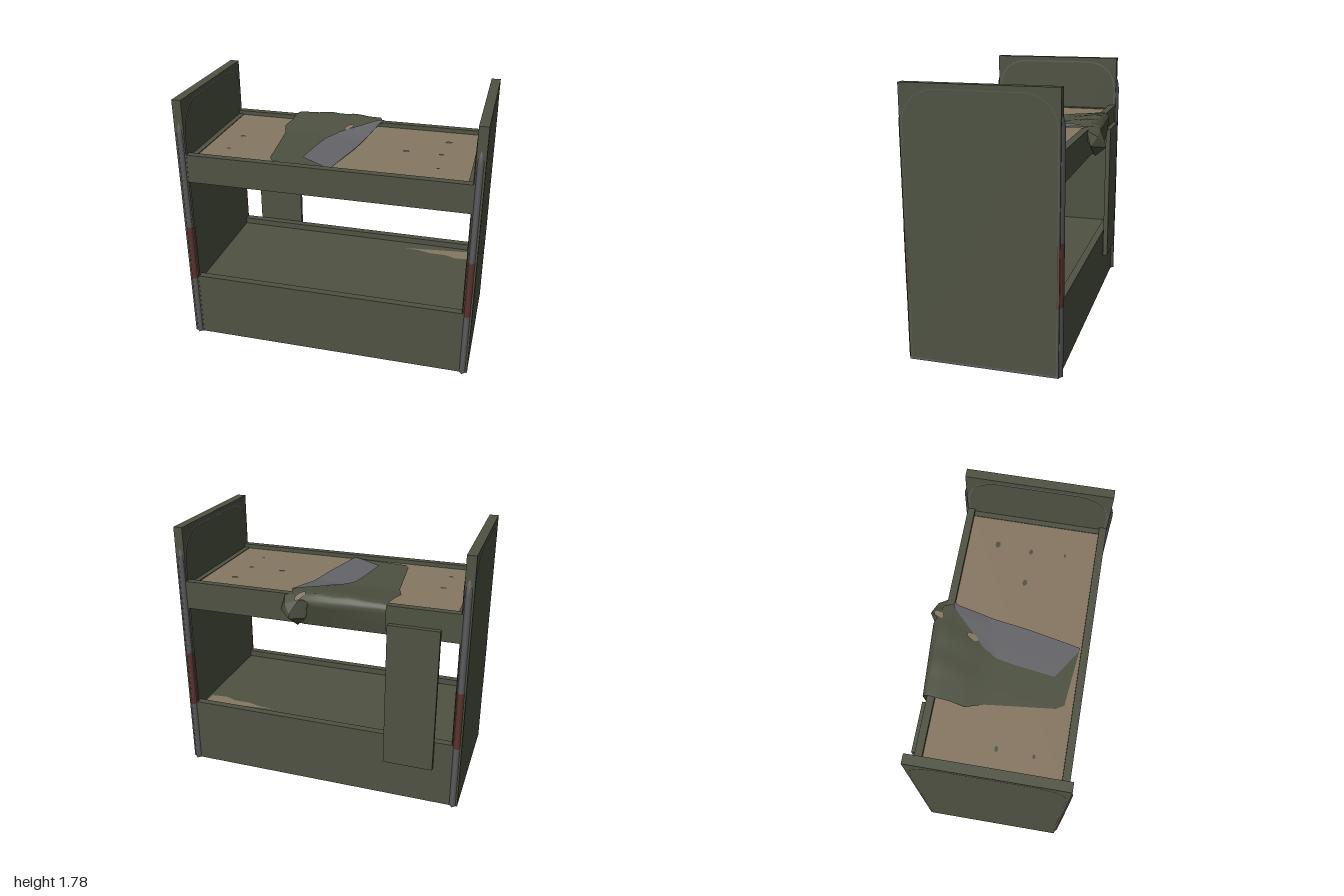
import * as THREE from 'three';
import { ConvexGeometry } from 'three/addons/geometries/ConvexGeometry.js';

const mat = (name, color, opts = {}) => {
  const m = new THREE.MeshStandardMaterial({ color, ...opts });
  m.name = name;
  return m;
};

export function createModel() {
  const group = new THREE.Group();
  const green = mat('olive green', 0x4f5342);
  const cloth = mat('olive cloth', 0x4d5140, { side: THREE.DoubleSide });
  const lining = mat('grey lining', 0x656569, { side: THREE.DoubleSide });
  const grey = mat('grey metal', 0x5f5f63);
  const red = mat('dull red', 0x603531);
  const tan = mat('tan mattress', 0x867762);
  const CZ = 0.045; // middle of the bed in z

  const add = (name, geo, m) => {
    const mesh = new THREE.Mesh(geo, m);
    mesh.name = name;
    group.add(mesh);
    return mesh;
  };
  // box given by its limits
  const box = (name, m, x0, x1, y0, y1, z0, z1) => {
    const mesh = add(name, new THREE.BoxGeometry(x1 - x0, y1 - y0, z1 - z0), m);
    mesh.position.set((x0 + x1) / 2, (y0 + y1) / 2, (z0 + z1) / 2);
    return mesh;
  };

  // end panels with a bent four-sided tube whose corners just break the faces
  for (const s of [-1, 1]) {
    const cx = s * 0.967;
    box('endPanel', green, s * 0.969 - 0.031, s * 0.969 + 0.031, 0.015, 1.78, -0.445, 0.537);
    box('endPanelFoot', grey, s * 0.969 - 0.031, s * 0.969 + 0.031, 0, 0.015, -0.445, 0.537);
    const half = 0.477, top = 1.744, r = 0.2, rad = 0.0345;
    const path = new THREE.CurvePath();
    const p = (z, y) => new THREE.Vector3(cx, y, CZ + z);
    path.add(new THREE.LineCurve3(p(half, 0), p(half, top - r)));
    path.add(new THREE.QuadraticBezierCurve3(p(half, top - r), p(half - 0.02, top - 0.02), p(half - r, top)));
    path.add(new THREE.LineCurve3(p(half - r, top), p(r - half, top)));
    path.add(new THREE.QuadraticBezierCurve3(p(r - half, top), p(0.02 - half, top - 0.02), p(-half, top - r)));
    path.add(new THREE.LineCurve3(p(-half, top - r), p(-half, 0)));
    add('endTube', new THREE.TubeGeometry(path, 120, rad, 4), grey);
    // red bands and closed feet on the posts
    for (const e of [-1, 1]) {
      const band = add('redBand', new THREE.CylinderGeometry(rad + 0.001, rad + 0.001, 0.41, 4, 1, true), red);
      band.position.set(cx, 0.665, CZ + e * half);
      const foot = add('postFoot', new THREE.CylinderGeometry(rad, rad, 0.02, 4), grey);
      foot.position.set(cx, 0.01, CZ + e * half);
    }
  }

  // long walls of both bunks, and the grey support ring inside each
  for (const [name, y0, y1, ringY, endY] of [['lower', 0, 0.475, 0.28, 0.42], ['upper', 1.21, 1.405, 1.22, 1.38]]) {
    box(name + 'FrontRail', green, -0.94, 0.94, y0, y1, 0.485, 0.535);
    box(name + 'BackRail', green, -0.94, 0.94, y0, y1, -0.445, -0.395);
    for (const s of [-1, 1]) {
      box(name + 'EndRail', green, s * 0.92 - 0.02, s * 0.92 + 0.02, ringY, endY, -0.395, 0.485);
      box(name + 'SupportEnd', grey, s * 0.89 - 0.01, s * 0.89 + 0.01, ringY, ringY + 0.08, -0.395, 0.485);
    }
    box(name + 'SupportFront', grey, -0.9, 0.9, ringY, ringY + 0.08, 0.465, 0.485);
    box(name + 'SupportBack', grey, -0.9, 0.9, ringY, ringY + 0.08, -0.395, -0.375);
  }

  // mattresses, slats and the flat lower blanket
  box('lowerMattress', tan, -0.9, 0.9, 0.35, 0.42, -0.395, 0.485);
  box('lowerBlanket', green, -0.94, 0.94, 0.42, 0.43, -0.395, 0.485);
  box('upperMattress', tan, -0.9, 0.9, 1.315, 1.375, -0.395, 0.485);
  for (let i = -2; i <= 2; i++)
    box('slat', tan, i * 0.36 - 0.172, i * 0.36 + 0.172, 1.285, 1.314, -0.395, 0.485);

  // worn patch on the lower blanket, near its back edge
  const patch = new THREE.Shape([[0.92, 0.36], [0.4, 0.3], [0.52, 0.295], [0.6, 0.27], [0.72, 0.27], [0.8, 0.24], [0.92, 0.25]]
    .map(([x, y]) => new THREE.Vector2(x, y)));
  const worn = add('wornPatch', new THREE.ShapeGeometry(patch), tan);
  worn.rotation.x = -Math.PI / 2;
  worn.position.y = 0.433;

  // small green spots on the upper mattress
  for (const [x, z, r] of [[-0.73, 0.05, 0.02], [-0.74, 0.29, 0.015], [0.44, 0.04, 0.024],
    [0.68, 0.045, 0.02], [0.69, 0.28, 0.012], [0.7, -0.19, 0.026]]) {
    const spot = add('spot', new THREE.CircleGeometry(r, 7), green);
    spot.rotation.x = -Math.PI / 2;
    spot.scale.y = 0.65;
    spot.position.set(x, 1.379, z);
  }

  // thrown blanket: nearly flat, rising over the back rail
  const height = (x, z) => {
    const across = Math.max(0, 1 - ((x + 0.13) / 0.38) ** 2);
    const back = THREE.MathUtils.clamp((-0.1 - z) / 0.3, 0, 1);
    return 1.383 + (0.027 + 0.022 * across) * back + 0.005 * across * back * Math.sin(x * 30 + z * 9);
  };
  // rows are [left x, left z, right x, right z, optional y]
  const sheet = (rows, lift) => {
    const sub = 3, cols = 12, pos = [], idx = [];
    const n = (rows.length - 1) * sub;
    for (let i = 0; i <= n; i++) {
      const k = Math.min(Math.floor(i / sub), rows.length - 2), t = i / sub - k;
      const [a0, a1] = [rows[k], rows[k + 1]];
      const q = [0, 1, 2, 3].map((c) => THREE.MathUtils.lerp(a0[c], a1[c], t));
      for (let j = 0; j <= cols; j++) {
        const x = THREE.MathUtils.lerp(q[0], q[2], j / cols), z = THREE.MathUtils.lerp(q[1], q[3], j / cols);
        const h = height(x, z);
        pos.push(x, THREE.MathUtils.lerp(a0[4] ?? h, a1[4] ?? h, t) + lift, z);
        if (i < n && j < cols) {
          const a = i * (cols + 1) + j, b = a + cols + 1;
          idx.push(a, a + 1, b, a + 1, b + 1, b);
        }
      }
    }
    const g = new THREE.BufferGeometry();
    g.setAttribute('position', new THREE.Float32BufferAttribute(pos, 3));
    g.setIndex(idx);
    g.computeVertexNormals();
    return g;
  };
  add('blanket', sheet([
    [-0.38, 0.43, 0.02, 0.475], [-0.41, 0.38, 0.035, 0.4], [-0.44, 0.1, 0.1, 0.1],
    [-0.46, -0.08, 0.13, -0.12], [-0.5, -0.2, 0.155, -0.25], [-0.48, -0.3, 0.19, -0.39],
    [-0.47, -0.45, 0.16, -0.46], [-0.47, -0.475, 0.04, -0.51, 1.385],
    [-0.47, -0.465, 0.06, -0.48, 1.29], [-0.47, -0.452, 0.1, -0.455, 1.212],
  ], 0), cloth);
  add('blanketLining', sheet([
    [-0.01, 0.465, 0.025, 0.475], [-0.2, 0.34, 0.042, 0.4], [-0.165, 0.08, 0.103, 0.1],
    [-0.14, -0.05, 0.135, -0.12], [-0.08, -0.15, 0.16, -0.25], [0.05, -0.28, 0.18, -0.36],
    [0.16, -0.39, 0.2, -0.4],
  ], 0.008), lining);

  // bunched corner hanging over the back rail
  const knot = [[0.03, 1.39, -0.46], [0.06, 1.27, -0.5], [0.15, 1.28, -0.56], [0.15, 1.31, -0.553],
    [0.24, 1.3, -0.47], [0.22, 1.4, -0.44], [0.18, 1.405, -0.39], [0.1, 1.42, -0.46],
    [0.12, 1.21, -0.48], [0.1, 1.395, -0.51], [0.2, 1.36, -0.51]];
  add('blanketKnot', new ConvexGeometry(knot.map((p) => new THREE.Vector3(...p))), cloth);

  // tan gaps showing through the blanket: [x, y, z, tilt]
  for (const [x, y, z, tilt] of [[-0.025, height(-0.025, -0.23) + 0.011, -0.23, -0.16], [0.1, 1.415, -0.483, 0.46]]) {
    const gap = add('blanketGap', new THREE.CircleGeometry(0.048, 10), tan);
    gap.rotation.set(-Math.PI / 2 - tilt, 0, -0.5);
    gap.scale.x = 0.45;
    gap.position.set(x, y, z);
  }

  // cloth hanging down behind the bed
  box('hangingFlap', green, -0.82, -0.48, 0.28, 1.29, -0.486, -0.452);

  return group;
}
